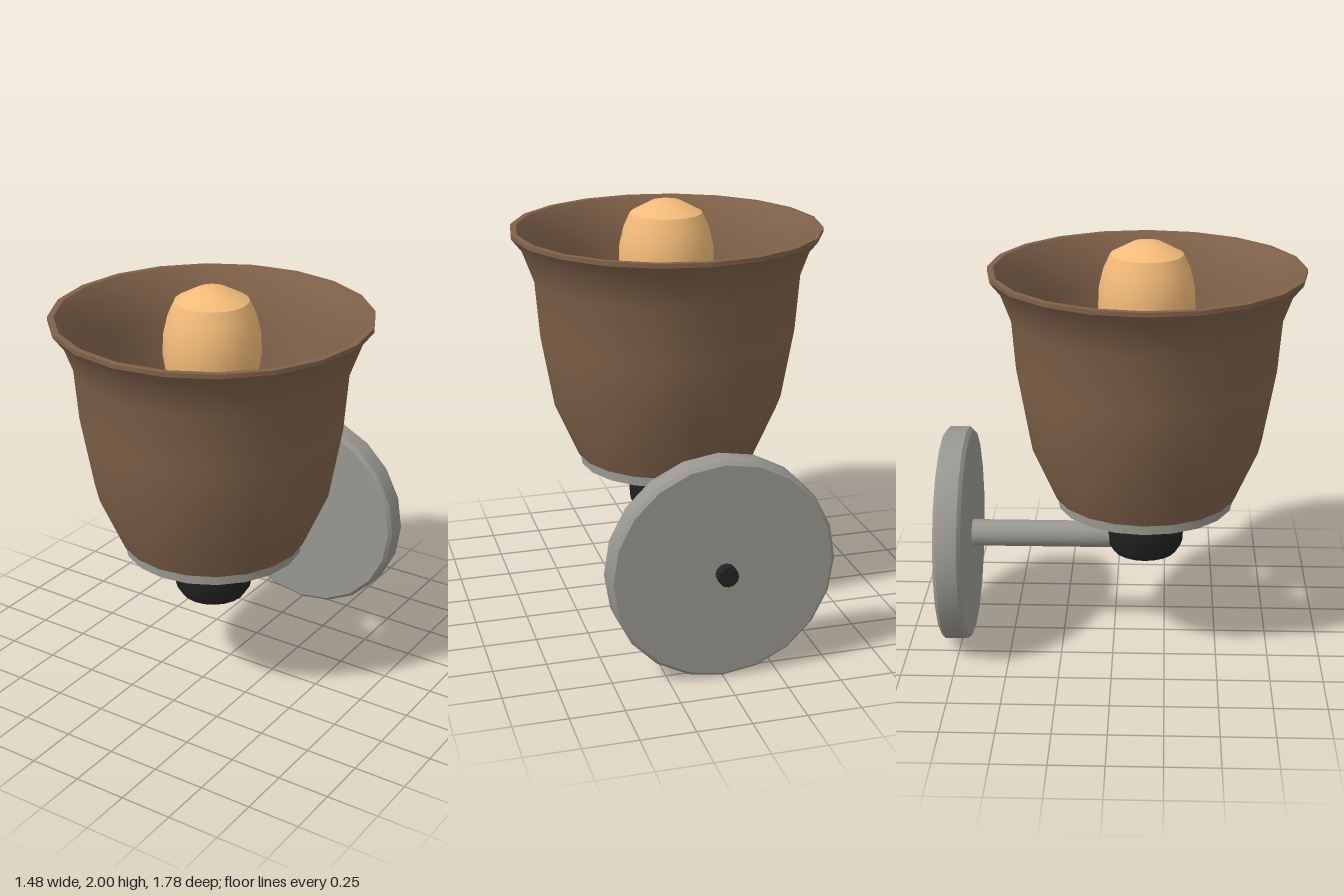
import * as THREE from 'three';
import { toCreasedNormals } from 'three/addons/utils/BufferGeometryUtils.js';

const SIDES = 20;
const LAMP_Z = 0.15; // vertical axis of the lamp
const PLATE_Y = 0.525; // height of the wall plate centre

const paint = (color) => new THREE.MeshStandardMaterial({ color });
const metal = paint(0x989790);
const black = paint(0x222222);
const shadeBrown = paint(0x80624a);
const bulbAmber = paint(0xf2bb78);

// Revolved part from [radius, height] pairs, outer side listed upwards
function turned(name, profile, material, sides = SIDES) {
  const points = profile.map(([r, y]) => new THREE.Vector2(r, y));
  const lathe = new THREE.LatheGeometry(points, sides);
  const mesh = new THREE.Mesh(toCreasedNormals(lathe, 0.65), material);
  mesh.name = name;
  return mesh;
}

// Lay a turned part along z so that its profile height becomes z
function alongZ(mesh) {
  mesh.rotation.x = Math.PI / 2;
  mesh.position.y = PLATE_Y;
  return mesh;
}

export function createModel() {
  const model = new THREE.Group();
  model.name = 'wallLamp';

  // Lamp head: everything turned about the vertical axis
  const head = new THREE.Group();
  head.name = 'lampHead';
  head.position.z = LAMP_Z;
  head.add(
    // flared bell with a thin wall, open at both ends
    turned('shade', [
      [0.42, 0.76], [0.44, 0.765], [0.555, 1.03], [0.614, 1.37], [0.635, 1.64],
      [0.69, 1.79], [0.738, 1.85], [0.738, 1.87], [0.71, 1.87],
      [0.662, 1.80], [0.605, 1.64], [0.585, 1.37], [0.527, 1.04], [0.42, 0.76],
    ], shadeBrown),
    turned('shadeRing', [
      [0.38, 0.715], [0.425, 0.715], [0.425, 0.768], [0.38, 0.768], [0.38, 0.715],
    ], metal),
    turned('socket', [
      [0, 0.455], [0.155, 0.455], [0.183, 0.5], [0.19, 0.62], [0.18, 0.72],
      [0.155, 0.79], [0.09, 0.79], [0.09, 1.1], [0, 1.1],
    ], black),
    turned('bulb', [
      [0, 1.08], [0.1, 1.08], [0.115, 1.2], [0.165, 1.4], [0.205, 1.55], [0.226, 1.68],
      [0.222, 1.78], [0.2, 1.87], [0.17, 1.935], [0.07, 1.988], [0, 2],
    ], bulbAmber),
  );

  // Wall mount: plate, arm to the socket, and the screw behind the plate
  const mount = new THREE.Group();
  mount.name = 'wallMount';
  mount.add(
    alongZ(turned('wallPlate', [
      [0, -0.825], [0.505, -0.825], [0.522, -0.808], [0.522, -0.712], [0.505, -0.695], [0, -0.695],
    ], metal)),
    alongZ(turned('arm', [
      [0, -0.7], [0.065, -0.7], [0.065, 0.08], [0, 0.08],
    ], metal)),
    alongZ(turned('screw', [
      [0, -0.888], [0.047, -0.888], [0.047, -0.84], [0, -0.84],
    ], black, 12)),
  );

  model.add(head, mount);
  return model;
}
